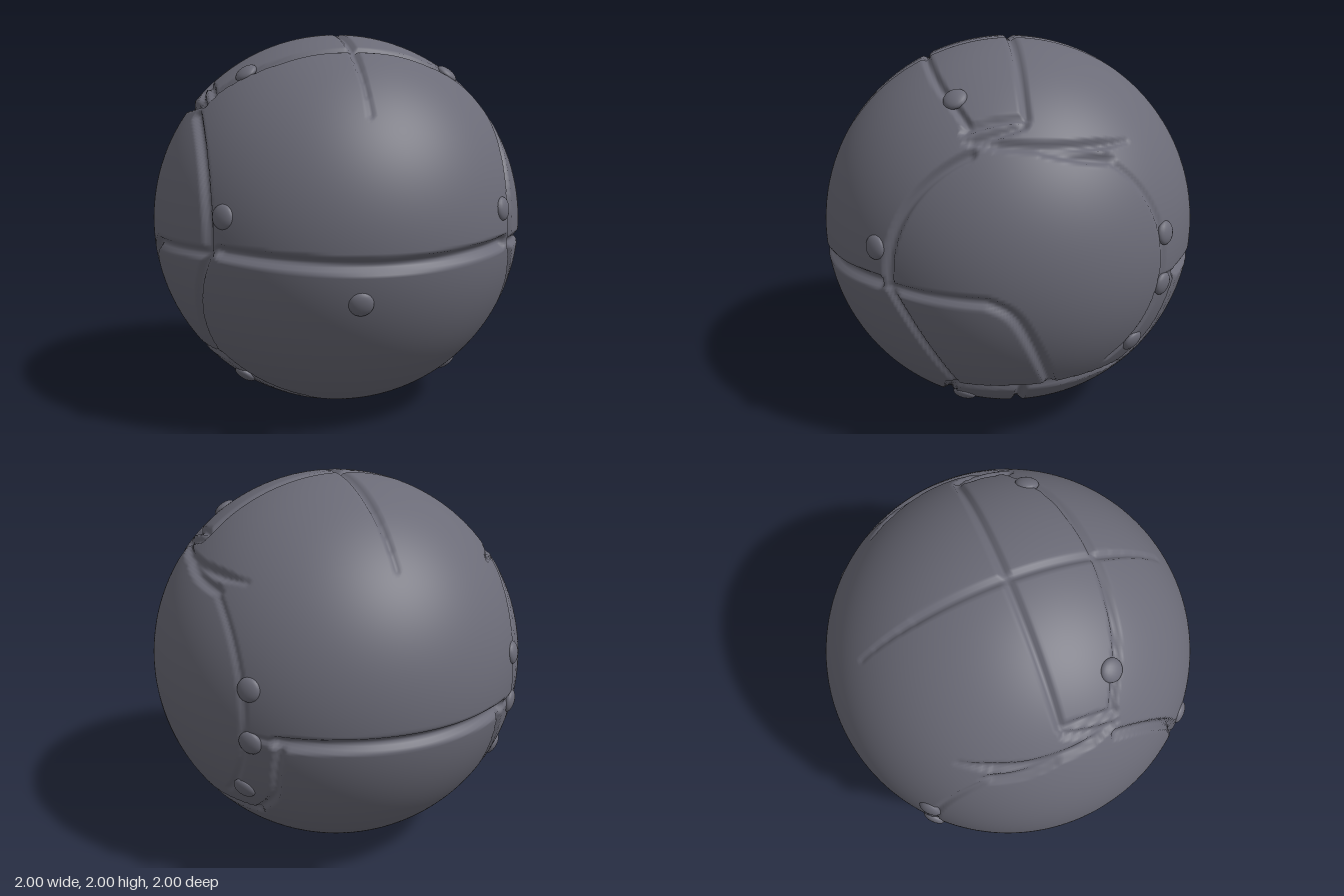
import * as THREE from 'three';
import { mergeVertices } from 'three/addons/utils/BufferGeometryUtils.js';

const V = (x, y, z) => new THREE.Vector3(x, y, z);
const flip = (v) => V(-v.x, v.y, v.z);

// Lift a 2D point onto the unit sphere from one direction (heights given from the floor)
const lift = (a, b) => Math.sqrt(Math.max(0, 1 - a * a - b * b));
const front = (x, y) => V(x, y - 1, lift(x, y - 1));
const back = (x, y) => V(x, y - 1, -lift(x, y - 1));
const side = (z, y) => V(lift(z, y - 1), y - 1, z);
const top = (x, z) => V(x, lift(x, z), z);
const bottom = (x, z) => V(x, -lift(x, z), z);

// Paths drawn in 2D
const line = (x1, y1, x2, y2) =>
  new THREE.LineCurve(new THREE.Vector2(x1, y1), new THREE.Vector2(x2, y2));
const curve = (...points) =>
  new THREE.SplineCurve(points.map(([x, y]) => new THREE.Vector2(x, y)));
// Part of the oval round the side panel, in degrees from the front
const ovalArc = (from, to) => new THREE.EllipseCurve(-0.02, 1, 0.67, 0.635,
  THREE.MathUtils.degToRad(from), THREE.MathUtils.degToRad(to), to < from);

// Seam grades: half width and depth
const broad = { w: 0.041, d: 0.041 };
const medium = { w: 0.033, d: 0.027 };
const slim = { w: 0.026, d: 0.022 };
const fine = { w: 0.022, d: 0.012 };

// Cut every seam into short pieces that follow the sphere
function seamPieces() {
  const pieces = [];
  const steps = 22;
  const seam = (view, path, { w, d }, taper = false) => {
    const points = path.getPoints(steps).map((p) => view(p.x, p.y));
    for (let i = 0; i < steps; i++) {
      const u = (i + 0.5) / steps;
      const f = taper ? Math.min(1, 0.25 + 4 * Math.min(u, 1 - u)) : 1;
      pieces.push({
        line: new THREE.Line3(points[i], points[i + 1]),
        w: Math.max(0.02, w * f),
        d: d * f,
      });
    }
  };
  const pair = (view, path, grade, taper) => {
    seam(view, path, grade, taper);
    seam((a, b) => flip(view(a, b)), path, grade, taper);
  };

  // seams round the front and back
  seam(front, curve([-0.71, 0.95], [0, 0.91], [0.71, 0.95]), broad);
  seam(back, line(-0.6, 0.89, 0.6, 0.89), broad);
  pair(side, line(-0.68, 0.91, -0.81, 0.89), fine);

  // crown plate and its middle seam
  seam(top, line(-0.01, -0.76, -0.01, 0.81), slim, true);
  seam(top, line(-0.69, -0.01, 0.69, -0.01), slim);
  seam(top, curve([-0.69, 0.25], [-0.4, 0.38], [0, 0.43], [0.4, 0.38], [0.69, 0.25]), slim);
  pair(top, line(0.69, -0.01, 0.69, 0.27), slim);

  // side panel outline and the strap behind it
  pair(side, ovalArc(66, -5), medium);
  pair(side, line(0.65, 0.94, 0.33, 0.35), slim);
  pair(side, line(0.36, 0.345, -0.5, 0.39), medium);
  pair(side, ovalArc(122, 232), fine);
  pair(side, curve([-0.5, 0.39], [-0.69, 0.57], [-0.81, 0.88]), slim);

  // folds above the side panel
  pair(side, line(0.27, 1.63, -0.5, 1.59), medium, true);
  pair(side, curve([0, 1.62], [-0.25, 1.56], [-0.42, 1.53]), medium, true);
  pair(side, line(0.24, 1.63, 0, 1.7), slim);

  // curved inset in the side panel
  pair(side, line(0.65, 0.94, 0.2, 0.93), medium);
  pair(side, curve([0.2, 0.93], [0.08, 0.86], [-0.02, 0.68], [-0.13, 0.39]), medium);

  // plate under each side
  pair(side, line(0.36, 0.35, 0.37, 0.11), medium);
  pair(bottom, curve([0.43, 0.36], [0.17, 0.34], [0.13, 0.27], [0.13, 0.01]), slim);
  pair(bottom, line(0.76, 0.01, 0.13, 0.01), medium);
  return pieces;
}

// Finely divided cube blown up to an even sphere, pressed in along the seams
function shellGeometry() {
  const n = 108;
  const box = new THREE.BoxGeometry(2, 2, 2, n, n, n);
  box.deleteAttribute('normal');
  box.deleteAttribute('uv');
  box.clearGroups();
  const geo = mergeVertices(box, 1e-4);
  const pos = geo.attributes.position;
  const pieces = seamPieces();
  const v = V(0, 0, 0), q = V(0, 0, 0);
  const even = (c) => Math.tan(c * Math.PI / 4);
  for (let i = 0; i < pos.count; i++) {
    v.fromBufferAttribute(pos, i);
    v.set(even(v.x), even(v.y), even(v.z)).normalize();
    let cut = 0;
    for (const { line: piece, w, d } of pieces) {
      if (v.distanceToSquared(piece.start) > 0.04) continue;
      piece.closestPointToPoint(v, true, q);
      const r = v.distanceTo(q) / w;
      if (r < 1) cut = Math.max(cut, d * (1 - r * r) ** 1.3);
    }
    v.multiplyScalar(1 - cut);
    pos.setXYZ(i, v.x, v.y, v.z);
  }
  geo.computeVertexNormals();
  return geo;
}

export function createModel() {
  const model = new THREE.Group();
  model.name = 'armouredBall';
  const metal = new THREE.MeshStandardMaterial({ color: 0x6b6b77 });
  metal.name = 'dark grey metal';

  const shell = new THREE.Mesh(shellGeometry(), metal);
  shell.name = 'shell';
  shell.position.y = 1;
  model.add(shell);

  // Domed rivets lying flat on the shell
  const rivets = new THREE.Group();
  rivets.name = 'rivets';
  rivets.position.y = 1;
  const rivetGeo = new THREE.SphereGeometry(1, 20, 12);
  const addRivet = (dir) => {
    const rivet = new THREE.Mesh(rivetGeo, metal);
    rivet.name = 'rivet';
    rivet.scale.set(0.06, 0.06, 0.027);
    rivet.position.copy(dir).multiplyScalar(0.997);
    rivet.quaternion.setFromUnitVectors(V(0, 0, 1), dir);
    rivets.add(rivet);
  };
  addRivet(front(-0.09, 0.73));
  const paired = [
    front(0.695, 1.12), front(0.53, 1.79),
    side(-0.7, 1.14), side(-0.7, 0.87), side(-0.56, 0.56), side(0.29, 0.22),
  ];
  for (const dir of paired) {
    addRivet(dir);
    addRivet(flip(dir));
  }
  model.add(rivets);
  return model;
}
